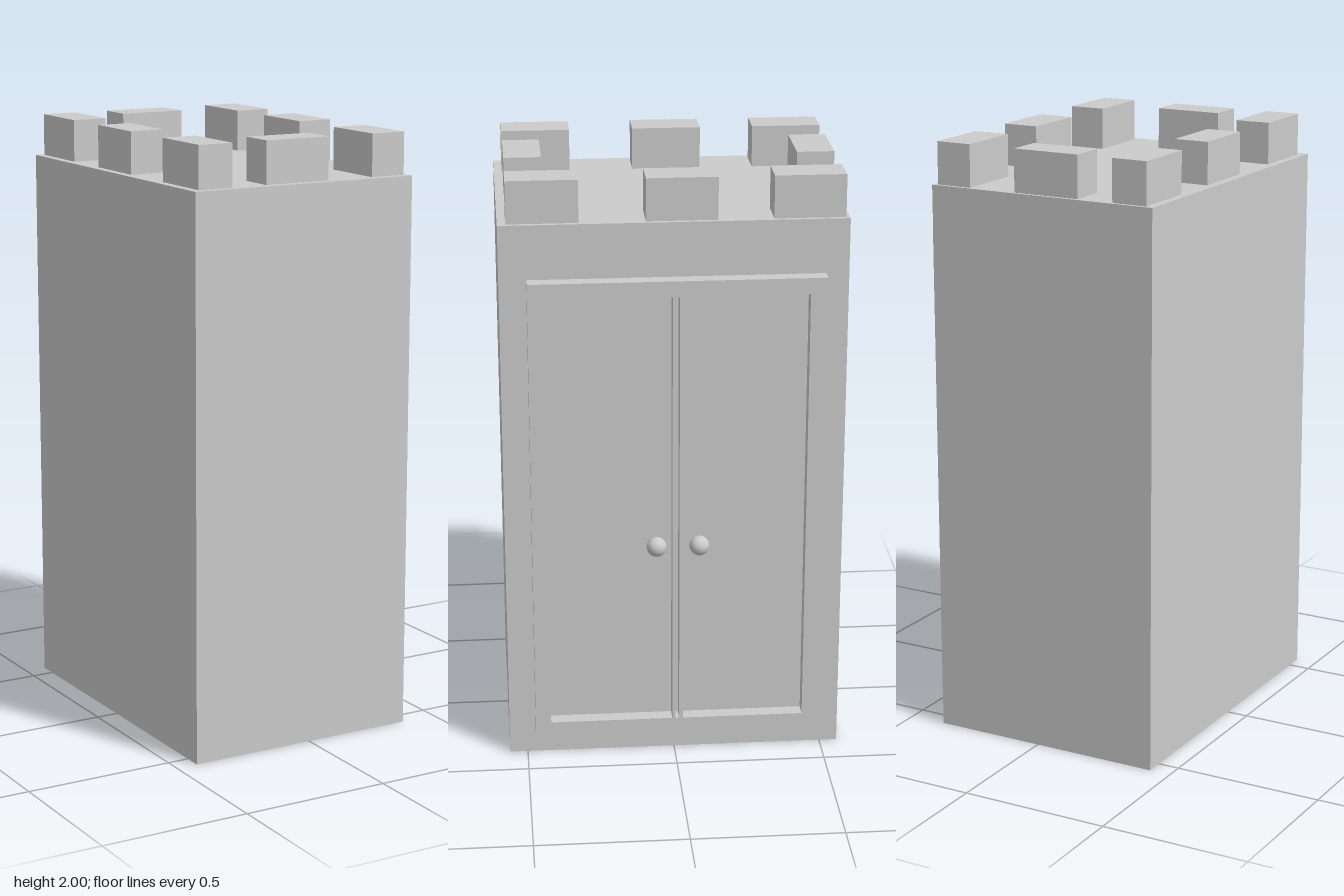
import * as THREE from 'three';

const material = new THREE.MeshStandardMaterial({ color: 0xcccccc });

// Box given by its minimum and maximum corners
function box(name, [x0, y0, z0], [x1, y1, z1]) {
  const mesh = new THREE.Mesh(new THREE.BoxGeometry(x1 - x0, y1 - y0, z1 - z0), material);
  mesh.name = name;
  mesh.position.set((x0 + x1) / 2, (y0 + y1) / 2, (z0 + z1) / 2);
  return mesh;
}

// Closed rectangle path
function rect(path, u0, v0, u1, v1) {
  path.moveTo(u0, v0);
  path.lineTo(u1, v0);
  path.lineTo(u1, v1);
  path.lineTo(u0, v1);
  path.closePath();
  return path;
}

export function createModel() {
  const group = new THREE.Group();
  group.name = 'tower';
  const wallX = 0.375, roofY = 1.86;

  group.add(box('towerBody', [-0.428, 0, -0.56], [wallX, roofY, 0.56]));

  // Door frame with two panels and a narrow slot between them (shape x = -z)
  const frameShape = rect(new THREE.Shape(), -0.472, 0.08, 0.486, 1.68);
  for (const [a, b] of [[-0.42, -0.01], [0, 0.013], [0.027, 0.431]]) {
    frameShape.holes.push(rect(new THREE.Path(), a, 0.132, b, 1.627));
  }
  const frame = new THREE.Mesh(
    new THREE.ExtrudeGeometry(frameShape, { depth: 0.05, bevelEnabled: false }), material);
  frame.name = 'doorFrame';
  frame.rotation.y = Math.PI / 2;
  frame.position.x = wallX;
  group.add(frame);

  // Door knobs
  for (const z of [0.06, -0.082]) {
    const knob = new THREE.Mesh(new THREE.SphereGeometry(0.033, 32, 16), material);
    knob.name = 'doorKnob';
    knob.position.set(0.391, 0.752, z);
    group.add(knob);
  }

  // Battlements around the roof: x range, z range
  const merlons = [[-0.157, 0.073, -0.548, -0.425], [-0.157, 0.073, 0.409, 0.531]];
  for (const [x0, x1] of [[-0.401, -0.281], [0.238, 0.36]]) {
    for (const z of [-0.548, -0.14, 0.303]) merlons.push([x0, x1, z, z + 0.23]);
  }
  for (const [x0, x1, z0, z1] of merlons) {
    group.add(box('merlon', [x0, roofY, z0], [x1, 2, z1]));
  }
  return group;
}
